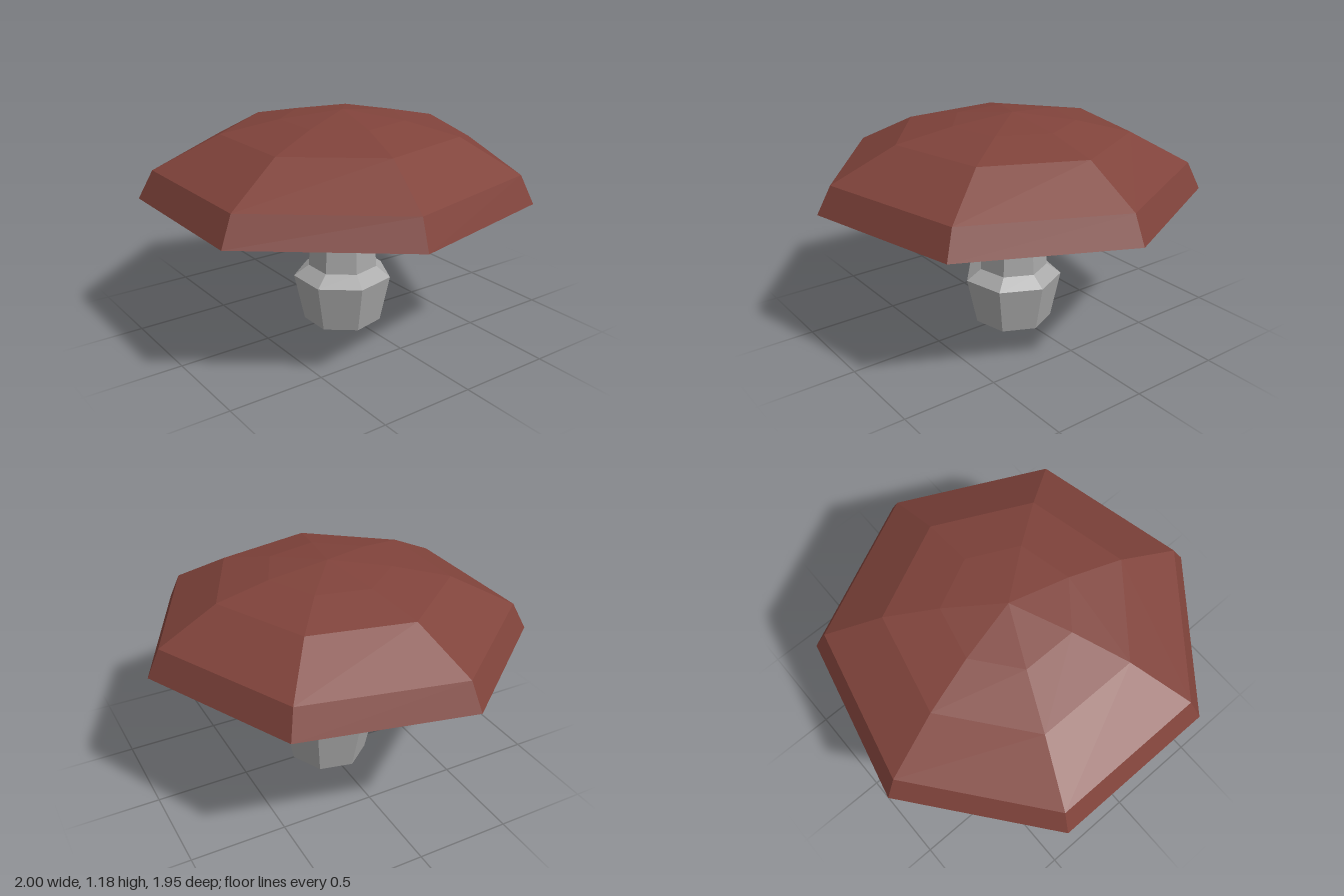
import * as THREE from 'three';

const SIDES = 7;

// Faceted solid through seven-sided rings [radius, y, zCentre]; a corner points to -z
function loft(rings, { bottom = true, top = true } = {}) {
  const pos = [];
  const point = ([r, y, z], i) => {
    const a = Math.PI + (i / SIDES) * Math.PI * 2;
    return [r * Math.sin(a), y, z + r * Math.cos(a)];
  };
  const first = rings[0], last = rings[rings.length - 1];
  for (let i = 0; i < SIDES; i++) {
    for (let k = 0; k < rings.length - 1; k++) {
      const lo = rings[k], hi = rings[k + 1];
      const a = point(lo, i), b = point(lo, i + 1), c = point(hi, i + 1), d = point(hi, i);
      pos.push(...a, ...b, ...c);
      if (hi[0] > 0) pos.push(...a, ...c, ...d);
    }
    if (bottom) pos.push(0, first[1], first[2], ...point(first, i + 1), ...point(first, i));
    if (top && last[0] > 0) pos.push(0, last[1], last[2], ...point(last, i), ...point(last, i + 1));
  }
  const g = new THREE.BufferGeometry();
  g.setAttribute('position', new THREE.Float32BufferAttribute(pos, 3));
  g.computeVertexNormals();
  return g;
}

export function createModel() {
  const group = new THREE.Group();
  group.name = 'mushroom';
  const red = new THREE.MeshStandardMaterial({ color: 0x80433b });
  red.name = 'cap red';
  const grey = new THREE.MeshStandardMaterial({ color: 0xa8a8a8 });
  grey.name = 'stem grey';

  const add = (name, geometry, material) => {
    const mesh = new THREE.Mesh(geometry, material);
    mesh.name = name;
    group.add(mesh);
  };

  // Bulbous foot with a sloping shoulder
  add('foot', loft([[0.215, 0, 0.01], [0.27, 0.26, 0.011], [0.19, 0.317, 0.008]]), grey);
  // Tapering stalk
  add('stalk', loft([[0.19, 0.317, 0.008], [0.165, 0.675, 0.008]], { bottom: false, top: false }), grey);
  // Flared collar under the cap
  add('collar', loft([[0.256, 0.675, 0.012], [0.205, 0.757, 0.01]], { top: false }), grey);
  // Flat underside of the cap
  add('capUnderside', loft([[1.026, 0.757, 0.05]], { top: false }), grey);
  // Domed cap with a steep rim
  add('cap', loft([
    [1.026, 0.757, 0.05],
    [0.953, 0.902, 0.045],
    [0.624, 1.073, 0.024],
    [0.33, 1.137, 0.01],
    [0, 1.178, 0.01],
  ], { bottom: false }), red);

  return group;
}
